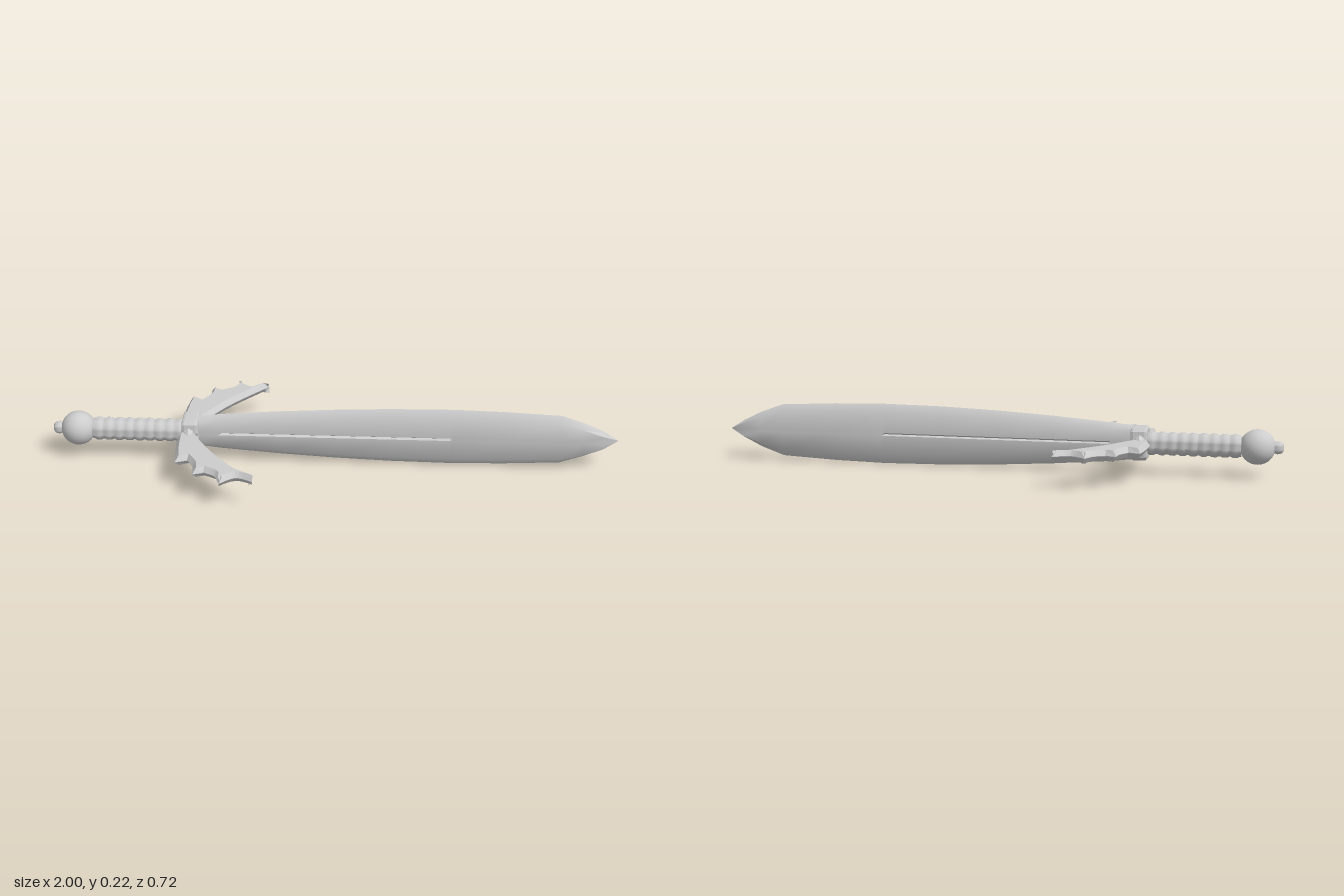
import * as THREE from 'three';
import { toCreasedNormals } from 'three/addons/utils/BufferGeometryUtils.js';

const AXIS_Y = 0.109;

// Blade lofted from hexagonal cross-sections with a narrow groove on both faces
function bladeGeometry() {
  // x, half width, half thickness, groove depth
  const stations = [
    [-0.49, 0.058, 0.023, 0], [-0.41, 0.068, 0.023, 0], [-0.4, 0.069, 0.023, 0.008],
    [-0.2, 0.085, 0.023, 0.008], [0, 0.097, 0.023, 0.008], [0.2, 0.105, 0.023, 0.008],
    [0.41, 0.108, 0.023, 0.008], [0.42, 0.108, 0.023, 0], [0.6, 0.104, 0.023, 0],
    [0.8, 0.094, 0.023, 0], [0.88, 0.066, 0.023, 0], [0.95, 0.032, 0.021, 0], [1, 0.001, 0.001, 0],
  ];
  const pos = [], index = [], n = 12;
  for (const [x, w, t, d] of stations) {
    const g = Math.min(0.005, w * 0.2), b = w * 0.73;
    const half = [[w, 0], [b, t], [g, t], [0, t - d], [-g, t], [-b, t]];
    for (const [y, z] of half) pos.push(x, y, z);
    for (const [y, z] of half) pos.push(x, -y, -z);
  }
  for (let i = 0; i < stations.length - 1; i++) {
    for (let j = 0; j < n; j++) {
      const k = (j + 1) % n, a = i * n + j, b = i * n + k;
      index.push(a, b, a + n, b, b + n, a + n);
    }
  }
  for (let j = 1; j < n - 1; j++) index.push(0, j + 1, j);
  const geo = new THREE.BufferGeometry();
  geo.setAttribute('position', new THREE.Float32BufferAttribute(pos, 3));
  geo.setIndex(index);
  return toCreasedNormals(geo, 0.98);
}

// Solid of revolution around the x axis; points are [x, radius]
function turned(points, sides = 28) {
  const geo = new THREE.LatheGeometry(points.map(([x, r]) => new THREE.Vector2(r, x)), sides);
  geo.rotateZ(-Math.PI / 2);
  return geo;
}

// Bat-wing guard arm with edges bevelled to a central ridge
function wingGeometry(side) {
  const p = (x, z) => new THREE.Vector2(x, z * side);
  const s = new THREE.Shape();
  const go = (x, z) => s.lineTo(x, z * side);
  const curve = (cx, cz, x, z) => s.splineThru([p(cx, cz), p(x, z)]);
  s.moveTo(-0.535, 0.02 * side);
  go(-0.49, 0.02);
  go(-0.478, 0.06);
  curve(-0.39, 0.195, -0.259, 0.345);
  curve(-0.318, 0.321, -0.371, 0.36);
  curve(-0.392, 0.314, -0.43, 0.291);
  go(-0.468, 0.305);
  curve(-0.473, 0.255, -0.497, 0.212);
  go(-0.537, 0.228);
  curve(-0.546, 0.15, -0.55, 0.06);
  s.closePath();
  const geo = new THREE.ExtrudeGeometry(s, {
    depth: 0.002, bevelEnabled: true, bevelThickness: 0.018, bevelSize: 0.013,
    bevelOffset: -0.013, bevelSegments: 1, curveSegments: 4,
  });
  geo.translate(0, 0, -0.001);
  geo.rotateX(Math.PI / 2);
  return geo;
}

// Chamfered guard block, pinched at the middle where the wings pass
function guardGeometry() {
  const quarter = [[0.044, 0], [0.05, 0.014], [0.046, 0.045], [0.034, 0.057]];
  const right = [...quarter.slice(1).reverse().map(([z, y]) => [z, -y]), ...quarter];
  const loop = [...right, ...right.map(([z, y]) => [-z, -y])];
  const shape = new THREE.Shape(loop.map(([z, y]) => new THREE.Vector2(z, y)));
  const geo = new THREE.ExtrudeGeometry(shape, {
    depth: 0.038, bevelEnabled: true, bevelThickness: 0.01, bevelSize: 0.008,
    bevelOffset: -0.008, bevelSegments: 2,
  });
  geo.translate(0, 0, -0.019);
  geo.rotateY(Math.PI / 2);
  geo.translate(-0.508, 0, 0);
  return geo;
}

export function createModel() {
  const steel = new THREE.MeshStandardMaterial({ color: 0xcccccc });
  steel.name = 'lightGreySteel';
  const sword = new THREE.Group();
  sword.name = 'sword';
  const add = (name, geo) => {
    const mesh = new THREE.Mesh(geo, steel);
    mesh.name = name;
    mesh.position.y = AXIS_Y;
    sword.add(mesh);
    return mesh;
  };

  add('blade', bladeGeometry());
  add('guardBlock', guardGeometry());

  // Wings and the flared sockets they grow from
  for (const side of [1, -1]) {
    const label = side > 0 ? 'front' : 'back';
    add(label + 'Wing', wingGeometry(side));
    const socket = new THREE.CylinderGeometry(0.022, 0.042, 0.034, 8);
    socket.scale(0.65, 1, 1);
    socket.rotateX(side * Math.PI / 2);
    socket.translate(-0.512, 0, side * 0.052);
    add(label + 'WingSocket', toCreasedNormals(socket, 0.5));
  }

  // Ribbed grip
  const grip = [[-0.858, 0], [-0.858, 0.036]];
  const ribs = 9, start = -0.855, pitch = 0.036;
  for (let i = 0; i < ribs; i++) {
    for (const [f, r] of [[0.08, 0.037], [0.3, 0.041], [0.7, 0.041], [0.92, 0.037]]) {
      grip.push([start + (i + f) * pitch, r]);
    }
  }
  grip.push([-0.525, 0.037], [-0.525, 0]);
  add('grip', toCreasedNormals(turned(grip), 0.9));

  // Round pommel with a small end cap
  const pommel = new THREE.SphereGeometry(0.061, 32, 20);
  pommel.rotateZ(Math.PI / 2);
  pommel.translate(-0.912, 0, 0);
  add('pommel', pommel);
  const cap = [[-1, 0], [-1, 0.012], [-0.993, 0.02], [-0.98, 0.023], [-0.97, 0.02], [-0.96, 0.02]];
  add('pommelCap', toCreasedNormals(turned(cap, 20), 0.8));

  return sword;
}
